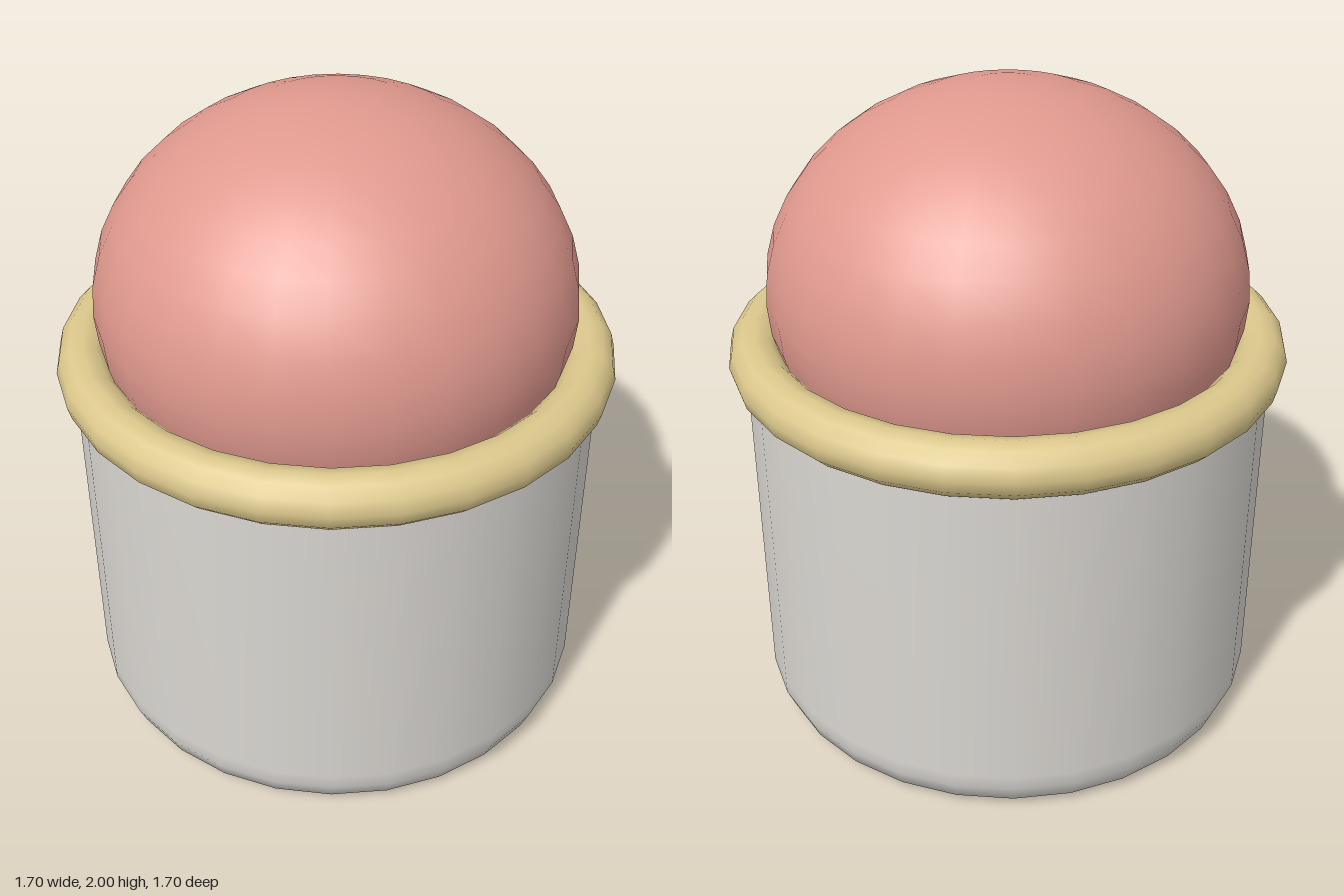
import * as THREE from 'three';

const SIDES = 28;

export function createModel() {
  const model = new THREE.Group();
  model.name = 'domedCanister';

  const lightGrey = new THREE.MeshStandardMaterial({ color: 0xd9d6d1 });
  lightGrey.name = 'light grey';
  const paleGold = new THREE.MeshStandardMaterial({ color: 0xdcc88c });
  paleGold.name = 'pale gold';
  const softPink = new THREE.MeshStandardMaterial({ color: 0xe0998e });
  softPink.name = 'soft pink';

  const add = (name, geometry, material, y = 0) => {
    const mesh = new THREE.Mesh(geometry, material);
    mesh.name = name;
    mesh.position.y = y;
    model.add(mesh);
    return mesh;
  };

  // Cylindrical body with a rounded foot, closed under the ring
  const profile = [
    [0, 0], [0.66, 0], [0.71, 0.005], [0.775, 0.035], [0.8, 0.095],
    [0.8, 0.14], [0.8, 1.15], [0.79, 1.2], [0, 1.2],
  ].map(([r, y]) => new THREE.Vector2(r, y));
  add('body', new THREE.LatheGeometry(profile, SIDES), lightGrey);

  // Rounded ring around the rim
  const ring = new THREE.TorusGeometry(0.768, 0.082, 12, SIDES).rotateX(-Math.PI / 2);
  add('rimRing', ring, paleGold, 1.197);

  // Slightly flattened dome, bulging just above the ring
  const dome = new THREE.SphereGeometry(0.725, SIDES, 12, 0, Math.PI * 2, 0, Math.PI * 0.6);
  dome.scale(1, 0.615 / 0.725, 1);
  add('dome', dome, softPink, 1.385);

  return model;
}
